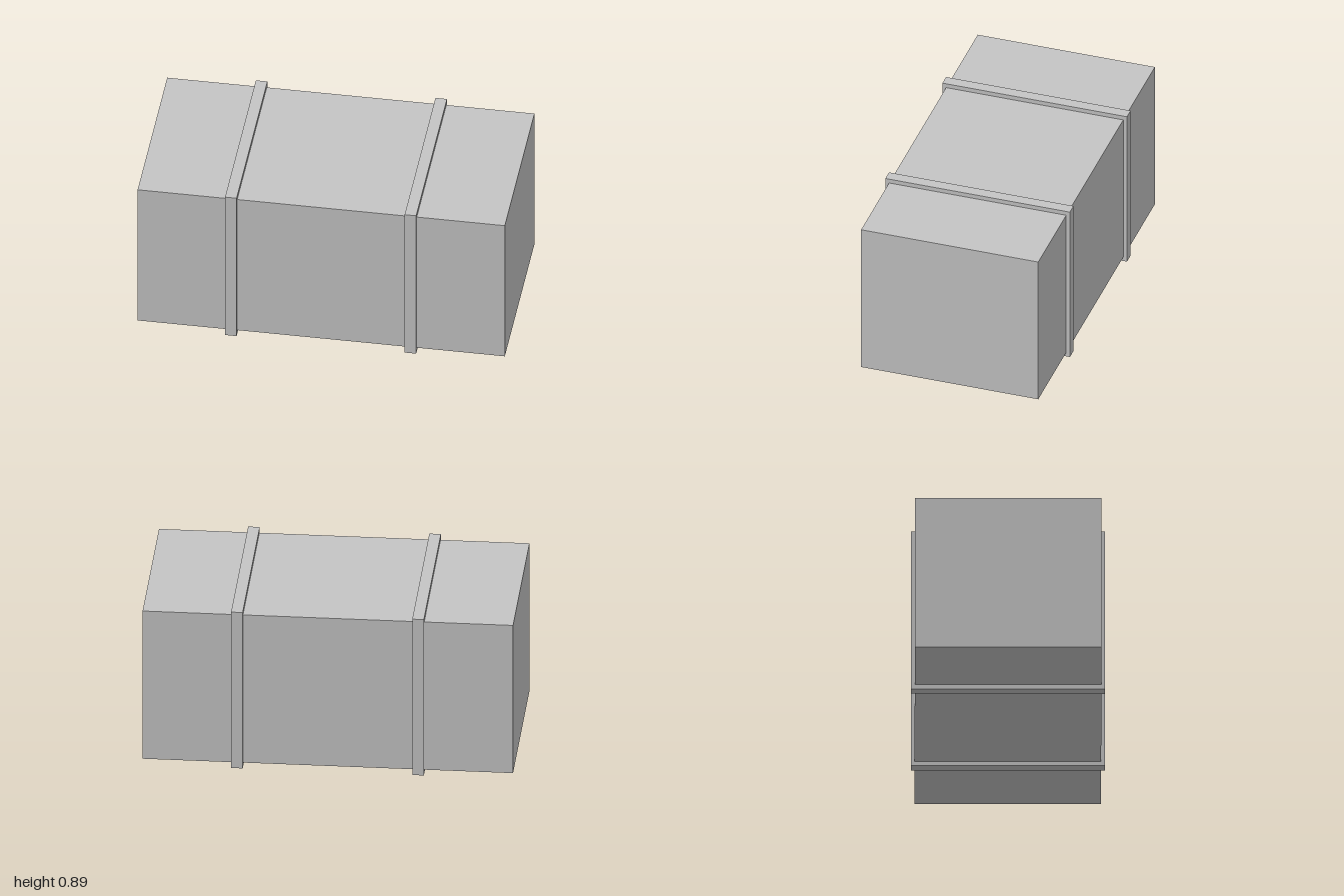
import * as THREE from 'three';

export function createModel() {
  const group = new THREE.Group();
  group.name = 'strappedCrate';
  const grey = new THREE.MeshStandardMaterial({ color: 0xc4c4c4 });
  grey.name = 'lightGrey';

  // Box centred at half height, so it stands on the straps
  const addBox = (name, w, h, d, x) => {
    const mesh = new THREE.Mesh(new THREE.BoxGeometry(w, h, d), grey);
    mesh.name = name;
    mesh.position.set(x, 0.447, 0);
    group.add(mesh);
  };

  // Crate body
  addBox('crateBody', 1.914, 0.847, 0.96, 0);

  // Two straps wrapping all the way round
  for (const side of [-1, 1]) {
    addBox(side < 0 ? 'rightStrap' : 'leftStrap', 0.06, 0.894, 1.0, side * 0.468);
  }

  // Slight turn of the whole crate
  group.rotation.y = 0.1;
  const model = new THREE.Group();
  model.name = 'crate';
  model.add(group);
  return model;
}
